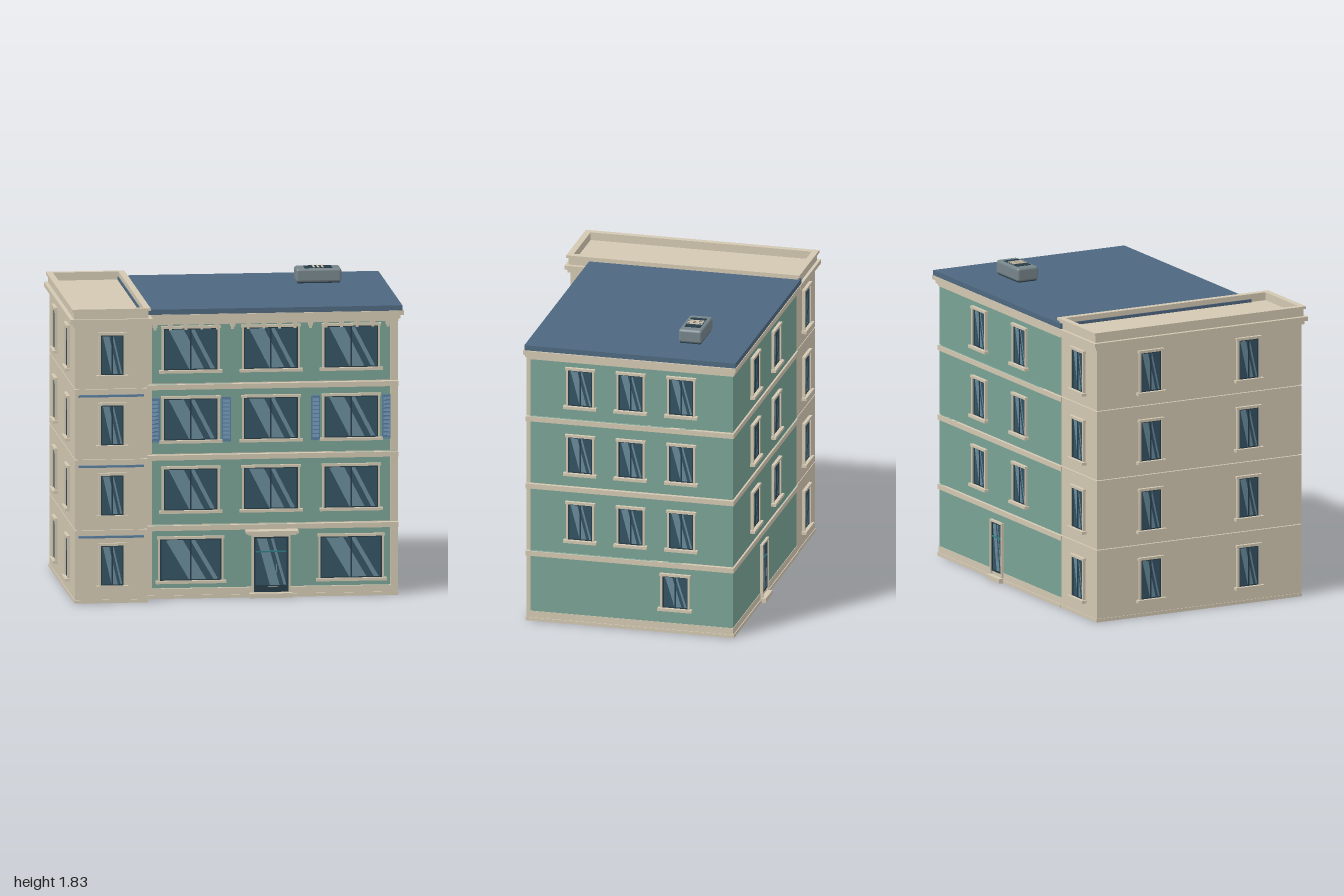
import * as THREE from 'three';
import { RoundedBoxGeometry } from 'three/addons/geometries/RoundedBoxGeometry.js';

const mat = (color, extra = {}) => new THREE.MeshStandardMaterial({ color, ...extra });
const CREAM = mat(0xd3c8b2), GREEN = mat(0x7aa396), ROOF = mat(0x4e6880), BLUE = mat(0x5b80a0);
const GLASS = mat(0x345263), SHINE = mat(0x688a9a, { side: THREE.DoubleSide }), DARK = mat(0x263c48);
const METAL = mat(0x76858a), TEAL = mat(0x2f7f86);

function add(parent, name, geometry, material, x = 0, y = 0, z = 0) {
  const m = new THREE.Mesh(geometry, material);
  m.name = name;
  m.position.set(x, y, z);
  parent.add(m);
  return m;
}

// Box given by its limits on each axis
function box(parent, name, material, x0, x1, y0, y1, z0, z1) {
  return add(parent, name, new THREE.BoxGeometry(x1 - x0, y1 - y0, z1 - z0), material,
    (x0 + x1) / 2, (y0 + y1) / 2, (z0 + z1) / 2);
}

const polygon = pts => new THREE.Shape(pts.map(p => new THREE.Vector2(...p)));
const rect = (x0, x1, y0, y1) => polygon([[x0, y0], [x1, y0], [x1, y1], [x0, y1]]);

// Rectangular ring, extruded along z
function ring(w, h, t, depth) {
  const s = rect(-w / 2 - t, w / 2 + t, -t, h + t);
  s.holes.push(rect(-w / 2, w / 2, 0, h));
  return new THREE.ExtrudeGeometry(s, { depth, bevelEnabled: false });
}

// Dark pane with slanted reflections
function pane(g, w, h) {
  box(g, 'glass', GLASS, -w / 2, w / 2, 0, h, -0.01, 0.004);
  for (const [a, b] of [[0.08, 0.36], [0.48, 0.56]]) {
    const lean = 0.4;
    const X = f => (f - 0.5) * w;
    const s = polygon([[X(a), h], [X(a + lean), 0], [X(b + lean), 0], [X(b), h]]);
    add(g, 'reflection', new THREE.ShapeGeometry(s), SHINE, 0, 0, 0.0055);
  }
}

// Window in a wall facing +z, origin at the middle of its lower edge
function makeWindow(w, h) {
  const g = new THREE.Group();
  g.name = 'window';
  pane(g, w, h);
  add(g, 'sash', ring(w - 0.014, h - 0.014, 0.007, 0.008), DARK, 0, 0.007, 0);
  box(g, 'mullion', DARK, -0.004, 0.004, 0, h, 0, 0.009);
  add(g, 'frame', ring(w, h, 0.012, 0.016), CREAM);
  box(g, 'lintel', CREAM, -w / 2 - 0.017, w / 2 + 0.017, h, h + 0.015, 0, 0.02);
  box(g, 'sill', CREAM, -w / 2 - 0.027, w / 2 + 0.027, -0.016, 0.001, 0, 0.03);
  return g;
}

function makeDoor(w, h) {
  const g = new THREE.Group();
  g.name = 'door';
  pane(g, w, h);
  add(g, 'doorLeaf', ring(w - 0.02, h - 0.02, 0.01, 0.009), DARK, 0, 0.01, 0);
  box(g, 'doorFrameTop', CREAM, -w / 2 - 0.012, w / 2 + 0.012, h, h + 0.012, 0, 0.016);
  for (const s of [-1, 1])
    box(g, 'doorFrameSide', CREAM, s * (w / 2 + 0.006) - 0.006, s * (w / 2 + 0.006) + 0.006, -0.02, h, 0, 0.016);
  box(g, 'transomBar', TEAL, -w / 2 + 0.01, w / 2 - 0.01, h * 0.69, h * 0.69 + 0.008, 0, 0.011);
  add(g, 'handle', new THREE.CylinderGeometry(0.003, 0.003, 0.05, 8), METAL, w * 0.16, h * 0.37, 0.014);
  return g;
}

// Louvred shutter
function makeShutter(w, h) {
  const g = new THREE.Group();
  g.name = 'shutter';
  add(g, 'shutterFrame', ring(w - 0.014, h - 0.014, 0.007, 0.014), BLUE, 0, 0.007, 0);
  box(g, 'shutterBack', BLUE, -w / 2, w / 2, 0, h, 0, 0.005);
  for (let i = 0; i < 10; i++) {
    const slat = box(g, 'slat', BLUE, -w / 2 + 0.006, w / 2 - 0.006, 0, 0.018, 0, 0.003);
    slat.position.set(0, 0.025 + i * (h - 0.05) / 9, 0.008);
    slat.rotation.x = -0.4;
  }
  return g;
}

export function createModel() {
  const root = new THREE.Group();
  root.name = 'apartmentBuilding';
  const place = (part, x, y, z, turn = 0) => {
    part.position.set(x, y, z);
    part.rotation.y = turn;
    root.add(part);
  };
  const levels = [0, 0.436, 0.858, 1.28, 1.675];
  const STEP = 0.42, BACK = Math.PI, RIGHT = Math.PI / 2;

  // Storeys, separated by narrow grooves
  box(root, 'core', CREAM, -0.955, 0.945, 0, 1.675, -0.675, 0.535);
  box(root, 'towerCore', CREAM, -0.955, -0.555, 0, 1.675, 0.5, 0.675);
  for (let i = 0; i < 4; i++) {
    const y0 = levels[i] + (i ? 0.006 : 0), y1 = levels[i + 1];
    box(root, 'mainStorey', GREEN, -0.54, 0.96, y0, y1, -0.69, 0.55);
    box(root, 'towerStorey', CREAM, -0.97, -0.54, y0, y1, -0.69, 0.69);
    if (i < 3) {
      box(root, 'floorBand', CREAM, -0.545, 0.968, y1 - 0.03, y1, -0.697, 0.574);
      box(root, 'towerBlueStrip', BLUE, -0.95, -0.56, y1 - 0.046, y1 - 0.033, 0.68, 0.702);
    }
    for (const [a, b] of [[-0.54, -0.5], [0.92, 0.963]])
      box(root, 'cornerPilaster', CREAM, a, b, y0, y1, 0.545, 0.57);
  }

  // Plinth
  box(root, 'plinth', CREAM, -0.54, 0.963, 0, 0.06, -0.693, 0.57);
  box(root, 'plinthFoot', CREAM, -0.54, 0.968, 0, 0.02, -0.698, 0.576);
  box(root, 'towerFoot', CREAM, -0.974, -0.536, 0, 0.02, -0.694, 0.694);

  // Frieze, dentils and cornices
  box(root, 'frieze', CREAM, -0.54, 0.966, 1.64, 1.677, -0.696, 0.57);
  for (let i = 0; i < 16; i++) {
    const x = -0.48 + i * 0.0925;
    box(root, 'dentil', CREAM, x - 0.014, x + 0.014, 1.622, 1.645, 0.54, 0.57);
    box(root, 'dentilTip', CREAM, x - 0.008, x + 0.008, 1.606, 1.622, 0.54, 0.562);
  }
  box(root, 'corniceLower', CREAM, -0.53, 0.98, 1.655, 1.677, -0.705, 0.575);
  box(root, 'cornice', CREAM, -0.53, 1.0, 1.677, 1.702, -0.718, 0.582);
  box(root, 'towerCorniceLower', CREAM, -0.985, -0.525, 1.655, 1.677, -0.705, 0.705);
  box(root, 'towerCornice', CREAM, -1.0, -0.51, 1.677, 1.702, -0.72, 0.72);
  box(root, 'roofSlab', ROOF, -0.567, 0.99, 1.70, 1.733, -0.714, 0.576);

  // Tower parapet: a wall with a wider coping, open on top
  for (const [name, grow, y, d] of [['parapet', 0, 1.70, 0.05], ['parapetCoping', 0.012, 1.747, 0.016]]) {
    const m = add(root, name, ring(0.39, 1.35, 0.026 + grow, d), CREAM, -0.755, y, 0.675);
    m.rotation.x = -Math.PI / 2;
  }
  box(root, 'towerRoof', CREAM, -0.96, -0.55, 1.69, 1.715, -0.68, 0.68);

  // Front windows
  for (let f = 0; f < 4; f++) {
    const y = 0.105 + f * STEP;
    for (const x of [-0.267, 0.21, 0.687]) {
      if (f === 0 && x === 0.21) continue;
      place(makeWindow(f ? 0.32 : 0.365, 0.25), x, y, 0.55);
      if (f === 2 && x !== 0.21)
        for (const s of [-1, 1]) place(makeShutter(0.054, 0.265), x + s * 0.212, y - 0.01, 0.55);
    }
    // Tower windows: front, back and outer side
    place(makeWindow(0.135, 0.24), -0.75, y, 0.69);
    place(makeWindow(0.135, 0.24), -0.75, y, -0.69, BACK);
    for (const z of [-0.33, 0.33]) place(makeWindow(0.135, 0.24), -0.97, y, z, -RIGHT);
  }

  // Side and rear windows of the main block
  for (let f = 1; f < 4; f++) {
    const y = 0.11 + f * STEP;
    for (const z of [0.24, -0.068, -0.377]) place(makeWindow(0.148, 0.225), 0.96, y, z, RIGHT);
    for (const x of [0.455, -0.037]) place(makeWindow(0.148, 0.225), x, y, -0.69, BACK);
  }
  place(makeWindow(0.155, 0.2), 0.96, 0.155, -0.34, RIGHT);

  // Entrances with steps and canopy
  place(makeDoor(0.205, 0.3), 0.21, 0.06, 0.555);
  box(root, 'entranceRecess', DARK, 0.107, 0.313, 0.03, 0.06, 0.55, 0.572);
  box(root, 'frontStep', CREAM, 0.08, 0.335, 0, 0.027, 0.55, 0.61);
  box(root, 'canopy', CREAM, 0.056, 0.366, 0.39, 0.407, 0.55, 0.655);
  box(root, 'canopyUnderside', CREAM, 0.07, 0.352, 0.38, 0.39, 0.55, 0.64);
  place(makeDoor(0.125, 0.3), 0.243, 0.05, -0.69, BACK);
  box(root, 'rearStep', CREAM, 0.165, 0.32, 0, 0.027, -0.725, -0.69);

  // Rooftop ventilation unit
  const vent = new THREE.Group();
  vent.name = 'ventUnit';
  vent.position.set(0.59, 1.733, -0.367);
  root.add(vent);
  add(vent, 'ventBody', new RoundedBoxGeometry(0.27, 0.082, 0.142, 2, 0.015), METAL, 0, 0.046, 0);
  box(vent, 'ventBase', DARK, -0.125, 0.125, -0.005, 0.012, -0.062, 0.062);
  box(vent, 'ventOpening', DARK, -0.082, 0.082, 0.08, 0.0895, -0.048, 0.048);
  for (const x of [-0.026, 0, 0.026])
    box(vent, 'ventBar', CREAM, x - 0.005, x + 0.005, 0.085, 0.094, -0.046, 0.046);

  return root;
}
